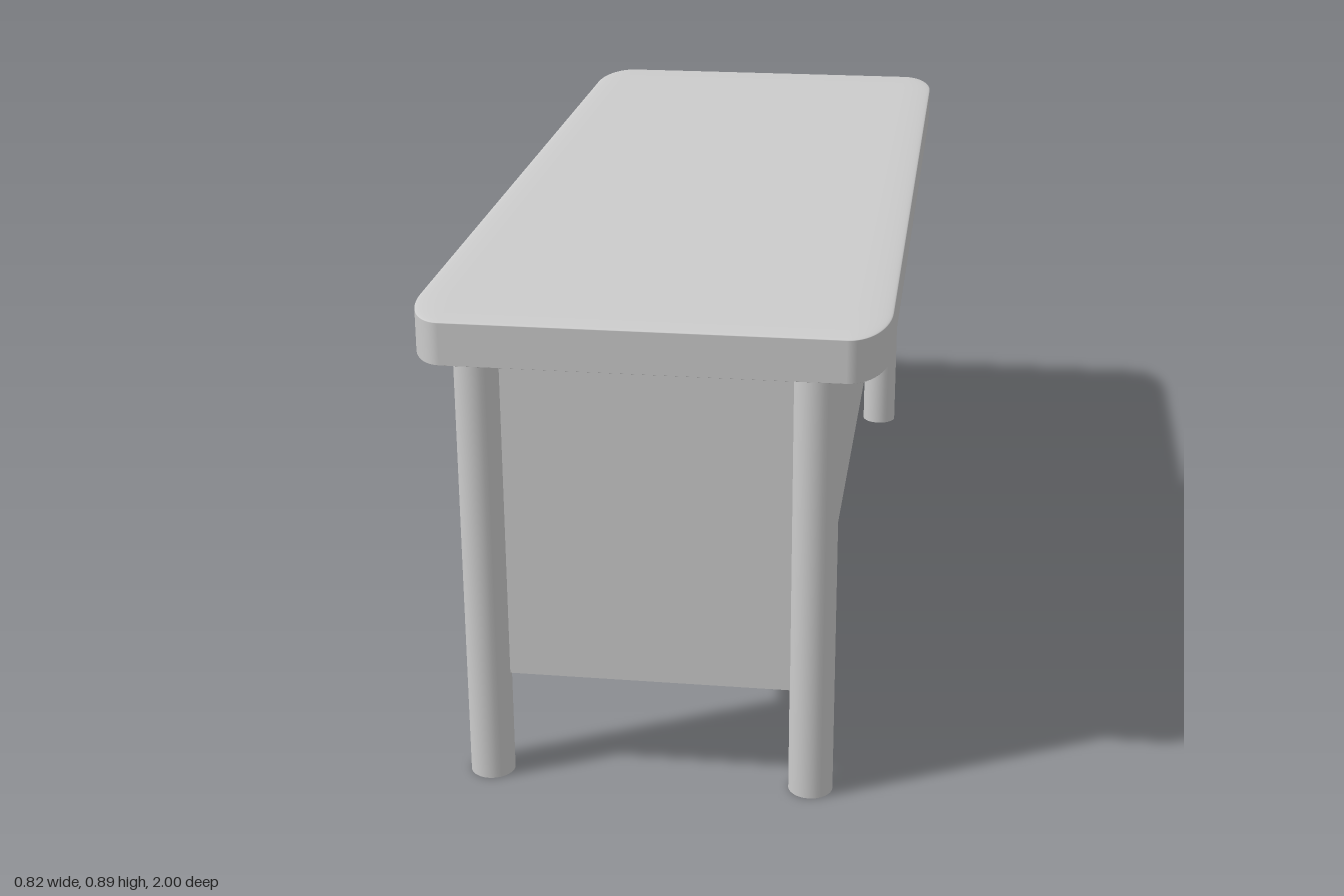
import * as THREE from 'three';
import { RoundedBoxGeometry } from 'three/addons/geometries/RoundedBoxGeometry.js';

const material = new THREE.MeshStandardMaterial({ color: 0xcccccc });

function add(group, name, geometry, x, y, z) {
  const mesh = new THREE.Mesh(geometry, material);
  mesh.name = name;
  mesh.position.set(x, y, z);
  group.add(mesh);
}

export function createModel() {
  const desk = new THREE.Group();
  desk.name = 'desk';

  // Top: a rounded box stretched so its rounding is long in z, shorter in x and very shallow in y
  const r = 0.07;
  const round = { x: 0.068, y: 0.006, z: 0.15 };
  const size = { x: 0.818, y: 0.086, z: 2 };
  const s = { x: round.x / r, y: round.y / r, z: round.z / r };
  const top = new RoundedBoxGeometry(size.x / s.x, size.y / s.y, size.z / s.z, 8, r);
  top.scale(s.x, s.y, s.z);
  add(desk, 'deskTop', top, 0, 0.848, 0);

  // Legs: the back left one stands slightly further out
  const legHeight = 0.82;
  const legs = {
    frontRightLeg: [-0.296, 0.923],
    frontLeftLeg: [0.287, 0.918],
    backRightLeg: [-0.296, -0.913],
    backLeftLeg: [0.305, -0.918],
  };
  for (const [name, [x, z]] of Object.entries(legs)) {
    add(desk, name, new THREE.CylinderGeometry(0.04, 0.04, legHeight, 32), x, legHeight / 2, z);
  }

  // Panels: both ends, and a long one joining them near the inner edge of the left legs
  const t = 0.03, panelHeight = 0.62, panelY = 0.2 + panelHeight / 2;
  const sideX = 0.264, frontZ = 0.914, backZ = -0.901;
  const endLeft = sideX + t / 2, endRight = -0.296;
  const endWidth = endLeft - endRight, endX = (endLeft + endRight) / 2;
  add(desk, 'frontPanel', new THREE.BoxGeometry(endWidth, panelHeight, t), endX, panelY, frontZ);
  add(desk, 'backPanel', new THREE.BoxGeometry(endWidth, panelHeight, t), endX, panelY, backZ);
  const side = new THREE.BoxGeometry(t, panelHeight, frontZ - backZ - t);
  add(desk, 'sidePanel', side, sideX, panelY, (frontZ + backZ) / 2);

  return desk;
}
